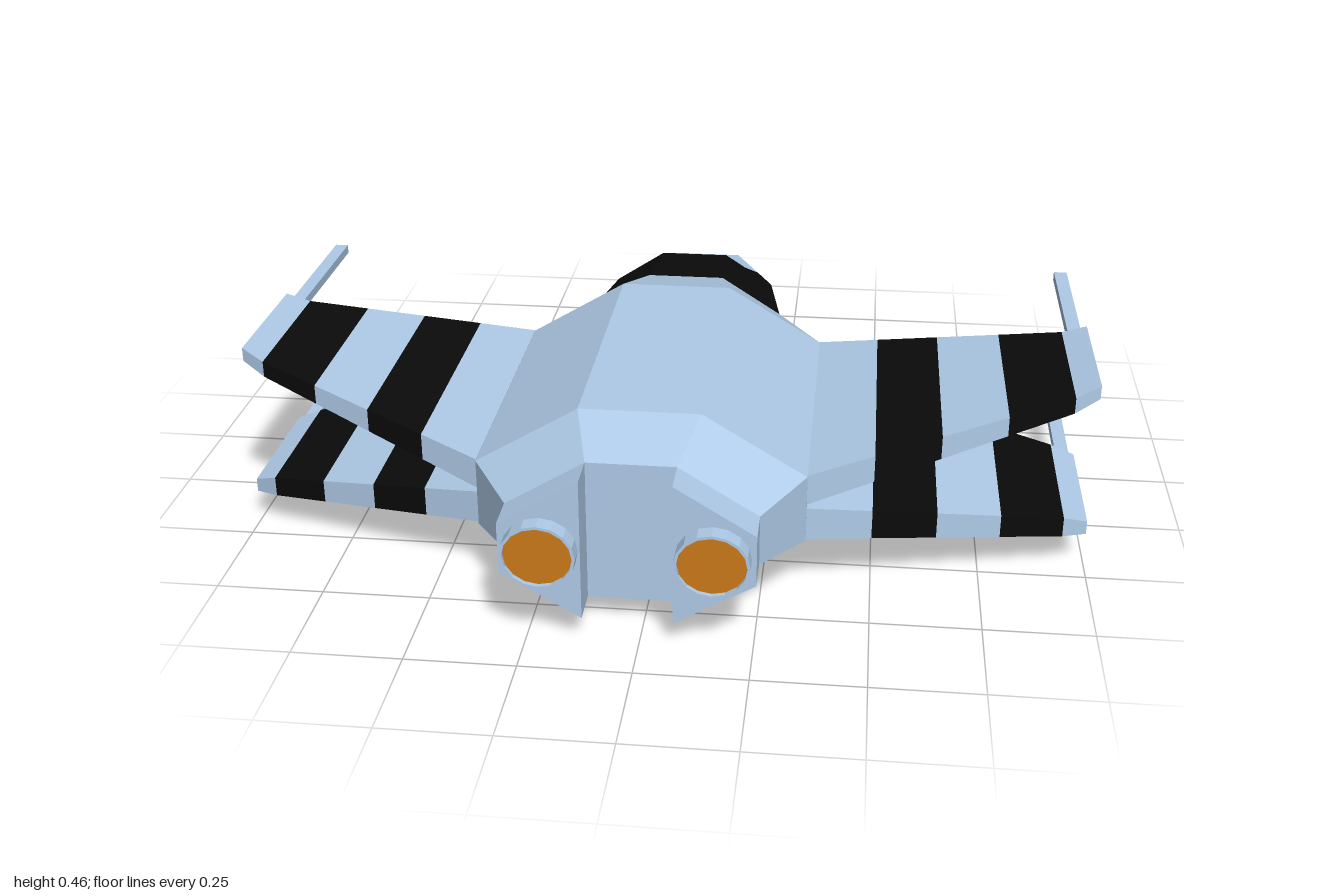
import * as THREE from 'three';

const hull = new THREE.MeshStandardMaterial({ color: 0xafcbe8, flatShading: true });
const black = new THREE.MeshStandardMaterial({ color: 0x0a0a0a, flatShading: true });
const orange = new THREE.MeshStandardMaterial({ color: 0xcc7a1a, flatShading: true });
const CX = -0.025; // centre line of the fuselage

// Capped solid through matching convex sections of [x, y, z] points
function loft(name, sections, material) {
  const pos = [];
  const tri = (a, b, c) => pos.push(...a, ...b, ...c);
  const n = sections[0].length;
  for (let s = 0; s < sections.length - 1; s++) {
    const A = sections[s], B = sections[s + 1];
    for (let i = 0; i < n; i++) {
      const j = (i + 1) % n;
      tri(A[i], A[j], B[j]);
      tri(A[i], B[j], B[i]);
    }
  }
  const first = sections[0], last = sections[sections.length - 1];
  for (let i = 1; i < n - 1; i++) {
    tri(first[0], first[i + 1], first[i]);
    tri(last[0], last[i], last[i + 1]);
  }
  // Turn the faces outward if the enclosed volume is negative
  let volume = 0;
  const a = new THREE.Vector3(), b = new THREE.Vector3(), c = new THREE.Vector3();
  for (let i = 0; i < pos.length; i += 9) {
    volume += a.fromArray(pos, i).dot(b.fromArray(pos, i + 3).cross(c.fromArray(pos, i + 6)));
  }
  if (volume < 0) {
    for (let i = 0; i < pos.length; i += 9) {
      for (let k = 0; k < 3; k++) {
        [pos[i + 3 + k], pos[i + 6 + k]] = [pos[i + 6 + k], pos[i + 3 + k]];
      }
    }
  }
  const geometry = new THREE.BufferGeometry();
  geometry.setAttribute('position', new THREE.Float32BufferAttribute(pos, 3));
  geometry.computeVertexNormals();
  const mesh = new THREE.Mesh(geometry, material);
  mesh.name = name;
  return mesh;
}

// Eight-sided fuselage section: half width w, half width t of top and bottom
const octagon = (z, w, t, y0, y1, y2, y3) => [
  [t, y0], [w, y1], [w, y2], [t, y3], [-t, y3], [-w, y2], [-w, y1], [-t, y0],
].map(([x, y]) => [CX + x, y, z]);

// Nose section with a flat deck
const hexagon = (z, w, t, y0, y1, y2) => [
  [t, y0], [w, y1], [w, y2], [-w, y2], [-w, y1], [-t, y0],
].map(([x, y]) => [CX + x, y, z]);

function makeFuselage() {
  const g = new THREE.Group();
  g.name = 'fuselage';
  const collar = octagon(-0.345, 0.257, 0.1, 0.07, 0.17, 0.28, 0.38);
  g.add(loft('mainHull', [
    octagon(0.8, 0.28, 0.1, 0.06, 0.165, 0.285, 0.395),
    octagon(0.65, 0.375, 0.138, 0, 0.145, 0.307, 0.45),
    octagon(-0.1, 0.375, 0.138, 0, 0.145, 0.307, 0.45),
    collar,
  ], hull));
  g.add(loft('blackBand', [
    collar,
    octagon(-0.585, 0.22, 0.09, 0.095, 0.18, 0.27, 0.355),
  ], black));
  g.add(loft('nose', [
    hexagon(-0.585, 0.22, 0.09, 0.095, 0.18, 0.27),
    hexagon(-0.93, 0.1, 0.045, 0.145, 0.18, 0.225),
  ], hull));
  // Sloping front of the canopy, sitting on the nose deck
  const canopyEnd = (w, yb, zb, t, yt, zt) => [
    [CX - w, yb, zb], [CX + w, yb, zb], [CX + t, yt, zt], [CX - t, yt, zt],
  ];
  g.add(loft('canopy', [
    canopyEnd(0.22, 0.27, -0.585, 0.09, 0.355, -0.585),
    canopyEnd(0.173, 0.2525, -0.72, 0.07, 0.3, -0.7),
  ], black));
  return g;
}

function makeEngine(side) {
  const g = new THREE.Group();
  g.name = side > 0 ? 'leftEngine' : 'rightEngine';
  const block = (z) => [[0.1, 0.06], [0.28, 0.165], [0.28, 0.285], [0.1, 0.395]]
    .map(([x, y]) => [CX + side * x, y, z]);
  g.add(loft('engineBlock', [block(0.78), block(0.89)], hull));
  // Nozzle ring, closed profile turned about the thrust axis
  const profile = [[0.076, 0], [0.083, 0], [0.083, 0.045], [0.076, 0.045], [0.076, 0]]
    .map(([r, h]) => new THREE.Vector2(r, h));
  const ring = new THREE.Mesh(new THREE.LatheGeometry(profile, 16), hull);
  ring.name = 'nozzleRing';
  ring.rotation.x = Math.PI / 2;
  const glow = new THREE.Mesh(new THREE.CircleGeometry(0.078, 16), orange);
  glow.name = 'nozzleGlow';
  glow.position.z = 0.034;
  const nozzle = new THREE.Group();
  nozzle.name = 'nozzle';
  nozzle.add(ring, glow);
  nozzle.position.set(CX + side * 0.187, 0.228, 0.885);
  nozzle.scale.y = 0.92;
  g.add(nozzle);
  return g;
}

function makeWing(side, upper) {
  const g = new THREE.Group();
  g.name = (upper ? 'upper' : 'lower') + (side > 0 ? 'LeftWing' : 'RightWing');
  const root = side > 0 ? 0.35 : 0.4;
  const [rootY, endY, tipY] = upper
    ? [[0.235, 0.308], [0.405, 0.443], [0.43, 0.463]]
    : [[0.147, 0.225], [0.087, 0.135], [0.08, 0.113]];
  const section = (x, [y0, y1], z0, z1) =>
    [[y0, z0], [y1, z0], [y1, z1], [y0, z1]].map(([y, z]) => [side * x, y, z]);
  const mix = THREE.MathUtils.lerp;
  const stations = [0, 0.25, 0.5, 0.75, 1].map((t) => section(
    mix(root, 0.942, t),
    [mix(rootY[0], endY[0], t), mix(rootY[1], endY[1], t)],
    mix(-0.1, 0.085, t), mix(0.645, 0.465, t),
  ));
  stations.push(section(1, tipY, 0.09, 0.435));
  // Alternating light and black panels
  for (let i = 0; i < 5; i++) {
    g.add(loft('wingPanel', [stations[i], stations[i + 1]], i % 2 ? black : hull));
  }
  const gun = new THREE.Mesh(new THREE.BoxGeometry(0.033, 0.022, 0.42), hull);
  gun.name = 'gunBarrel';
  gun.position.set(side * 0.972, upper ? 0.436 : 0.1, -0.1);
  g.add(gun);
  return g;
}

export function createModel() {
  const model = new THREE.Group();
  model.name = 'spaceFighter';
  model.add(makeFuselage());
  for (const side of [1, -1]) {
    model.add(makeEngine(side), makeWing(side, true), makeWing(side, false));
  }
  return model;
}
